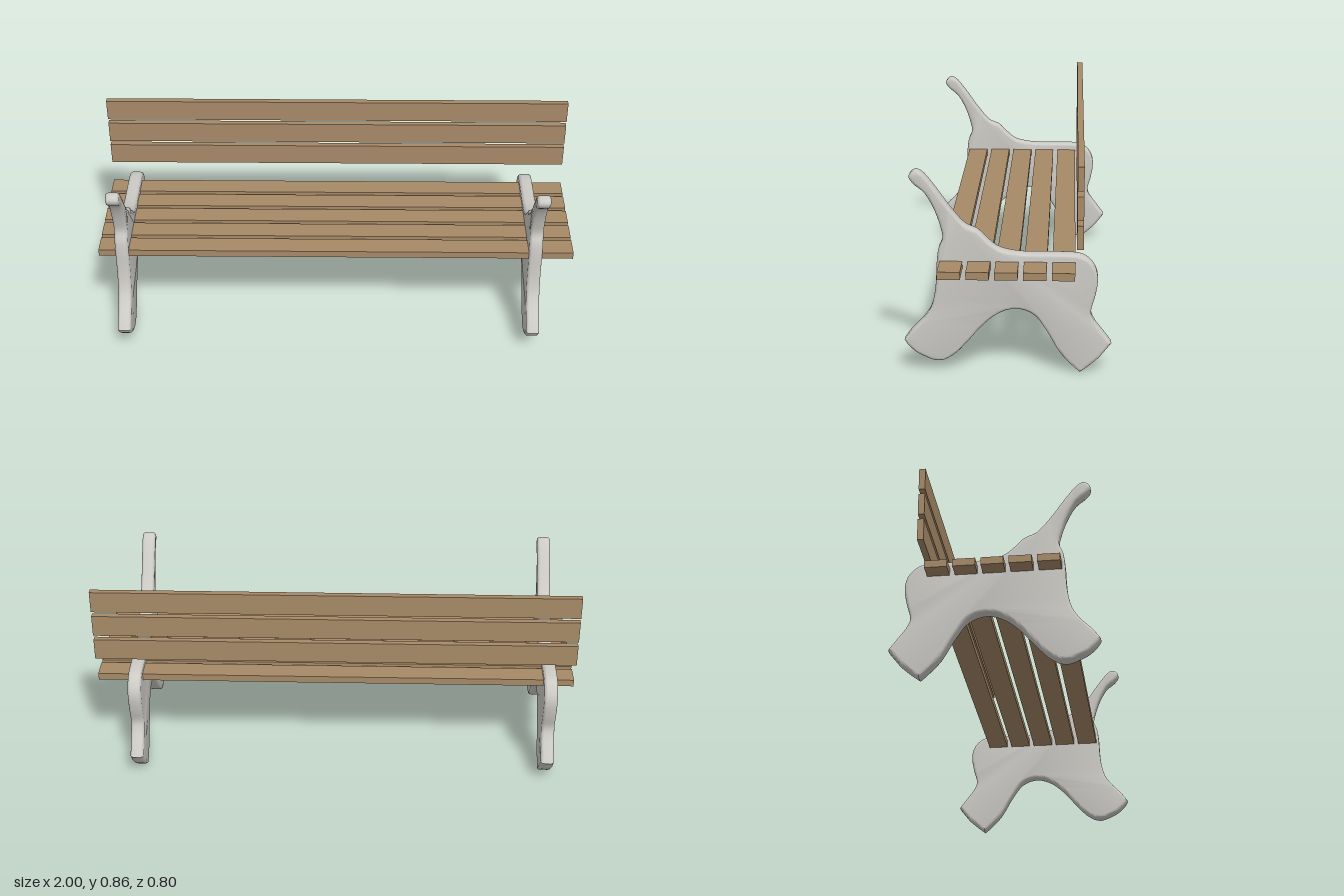
import * as THREE from 'three';
import { toCreasedNormals } from 'three/addons/utils/BufferGeometryUtils.js';

const wood = new THREE.MeshStandardMaterial({ name: 'wood', color: 0xa78a68 });
const castStone = new THREE.MeshStandardMaterial({ name: 'castStone', color: 0xcbcac5 });

// Outline of an end support as [z, y] runs; each run is smooth, corners sit between runs
const runs = [
  // front edge, horn, armrest and rear edge
  [[0.4, 0.125], [0.37, 0.165], [0.325, 0.213], [0.295, 0.26], [0.28, 0.32], [0.274, 0.38],
    [0.271, 0.44], [0.264, 0.495], [0.248, 0.54], [0.257, 0.59], [0.28, 0.655], [0.314, 0.715],
    [0.355, 0.75], [0.373, 0.78], [0.35, 0.803], [0.318, 0.788], [0.27, 0.728], [0.22, 0.657],
    [0.165, 0.593], [0.115, 0.569], [0.075, 0.53], [0.03, 0.497], [-0.05, 0.481], [-0.15, 0.48],
    [-0.25, 0.479], [-0.3, 0.465], [-0.335, 0.425], [-0.345, 0.375], [-0.335, 0.31],
    [-0.32, 0.25], [-0.335, 0.207], [-0.37, 0.16], [-0.4, 0.12]],
  // rear foot
  [[-0.4, 0.12], [-0.375, 0.088], [-0.35, 0.058], [-0.31, 0.023], [-0.28, 0]],
  // arch between the legs
  [[-0.28, 0], [-0.25, 0.027], [-0.2, 0.082], [-0.15, 0.168], [-0.1, 0.234], [-0.03, 0.258],
    [0.04, 0.235], [0.1, 0.185], [0.15, 0.127], [0.2, 0.073], [0.24, 0.046]],
  // front foot
  [[0.24, 0.046], [0.28, 0.041], [0.345, 0.068], [0.383, 0.1], [0.4, 0.125]],
];

function supportGeometry() {
  const points = runs.flatMap((run) => {
    const curve = new THREE.SplineCurve(run.map(([z, y]) => new THREE.Vector2(z, y)));
    return curve.getPoints((run.length - 1) * 4).slice(0, -1);
  });
  const bevel = 0.012;
  const width = 0.056;
  const geometry = new THREE.ExtrudeGeometry(new THREE.Shape(points), {
    depth: width - 2 * bevel,
    bevelSize: bevel,
    bevelThickness: bevel,
    bevelOffset: -bevel,
    bevelSegments: 3,
  });
  geometry.translate(0, 0, bevel - width / 2);
  geometry.rotateY(-Math.PI / 2); // outline runs along z, thickness along x
  return toCreasedNormals(geometry, 0.65);
}

function addSlat(parent, name, height, depth, y, z) {
  const slat = new THREE.Mesh(new THREE.BoxGeometry(2, height, depth), wood);
  slat.name = name;
  slat.position.set(0, y, z);
  parent.add(slat);
}

export function createModel() {
  const bench = new THREE.Group();
  bench.name = 'bench';

  // Seat slats
  for (let i = 0; i < 5; i++) addSlat(bench, `seatSlat${i + 1}`, 0.03, 0.087, 0.435, 0.216 - i * 0.1075);

  // Backrest slats
  for (let i = 0; i < 3; i++) addSlat(bench, `backSlat${i + 1}`, 0.092, 0.025, 0.589 + i * 0.1125, -0.2755);

  // End supports
  const geometry = supportGeometry();
  for (const [name, x] of [['rightSupport', -0.901], ['leftSupport', 0.841]]) {
    const support = new THREE.Mesh(geometry, castStone);
    support.name = name;
    support.position.x = x;
    bench.add(support);
  }
  return bench;
}
